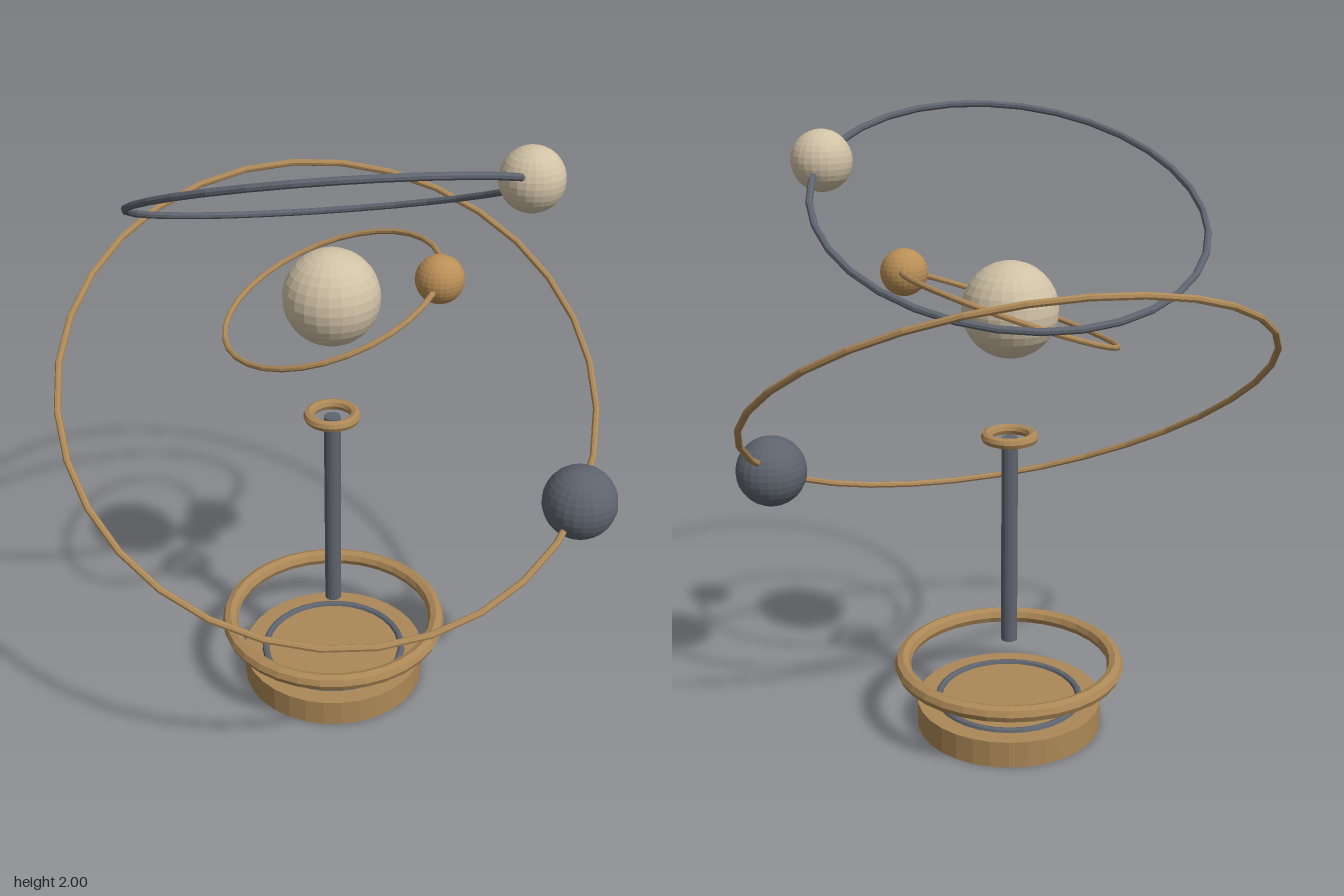
import * as THREE from 'three';

const paint = (name, color) => {
  const m = new THREE.MeshStandardMaterial({ color, flatShading: true });
  m.name = name;
  return m;
};

export function createModel() {
  const brass = paint('brass', 0xac8857);
  const copper = paint('copper', 0xba8f57);
  const steel = paint('steel', 0x5e646e);
  const ivory = paint('ivory', 0xd0c2a6);

  const model = new THREE.Group();
  model.name = 'orrery';
  const axis = new THREE.Group();
  axis.name = 'assembly';
  axis.position.x = -0.048;
  model.add(axis);

  const add = (parent, name, geometry, material, x = 0, y = 0) => {
    const mesh = new THREE.Mesh(geometry, material);
    mesh.name = name;
    mesh.position.set(x, y, 0);
    parent.add(mesh);
    return mesh;
  };
  // Horizontal ring
  const ring = (parent, name, radius, tube, material, y = 0) =>
    add(parent, name, new THREE.TorusGeometry(radius, tube, 8, 32).rotateX(Math.PI / 2), material, 0, y);
  const ball = (parent, name, radius, material, x, y) =>
    add(parent, name, new THREE.SphereGeometry(radius, 24, 16), material, x, y);

  // Base disc with inlaid ring, and the larger ring above it
  add(axis, 'base', new THREE.CylinderGeometry(0.308, 0.308, 0.09, 32), brass, 0, 0.045);
  ring(axis, 'baseInlay', 0.236, 0.012, steel, 0.09);
  ring(axis, 'baseRing', 0.354, 0.027, brass, 0.22);

  // Post and collar
  add(axis, 'post', new THREE.CylinderGeometry(0.027, 0.027, 0.705, 16), steel, 0, 0.655);
  ring(axis, 'collar', 0.074, 0.018, brass, 1.011);

  // Central globe
  ball(axis, 'sun', 0.151, ivory, 0, 1.423);

  // Tilted orbits, each carrying one globe: tilts in degrees about x, then z
  const orbits = [
    { name: 'inner', y: 1.423, r: 0.35, tube: 0.009, tiltX: 12, tiltZ: 17, metal: brass, globe: 0.074, skin: copper },
    { name: 'upper', y: 1.74, r: 0.6, tube: 0.011, tiltX: -22, tiltZ: 11.6, metal: steel, globe: 0.095, skin: ivory },
    { name: 'outer', y: 1.115, r: 0.85, tube: 0.011, tiltX: 31, tiltZ: -19.1, metal: brass, globe: 0.118, skin: steel },
  ];
  for (const o of orbits) {
    const g = new THREE.Group();
    g.name = o.name + 'Orbit';
    g.position.y = o.y;
    g.rotation.set(THREE.MathUtils.degToRad(o.tiltX), 0, THREE.MathUtils.degToRad(o.tiltZ), 'ZYX');
    ring(g, o.name + 'Ring', o.r, o.tube, o.metal);
    // Globe keeps its poles upright
    const globe = ball(g, o.name + 'Globe', o.globe, o.skin, o.r, 0);
    globe.quaternion.copy(g.quaternion).invert();
    axis.add(g);
  }
  return model;
}
